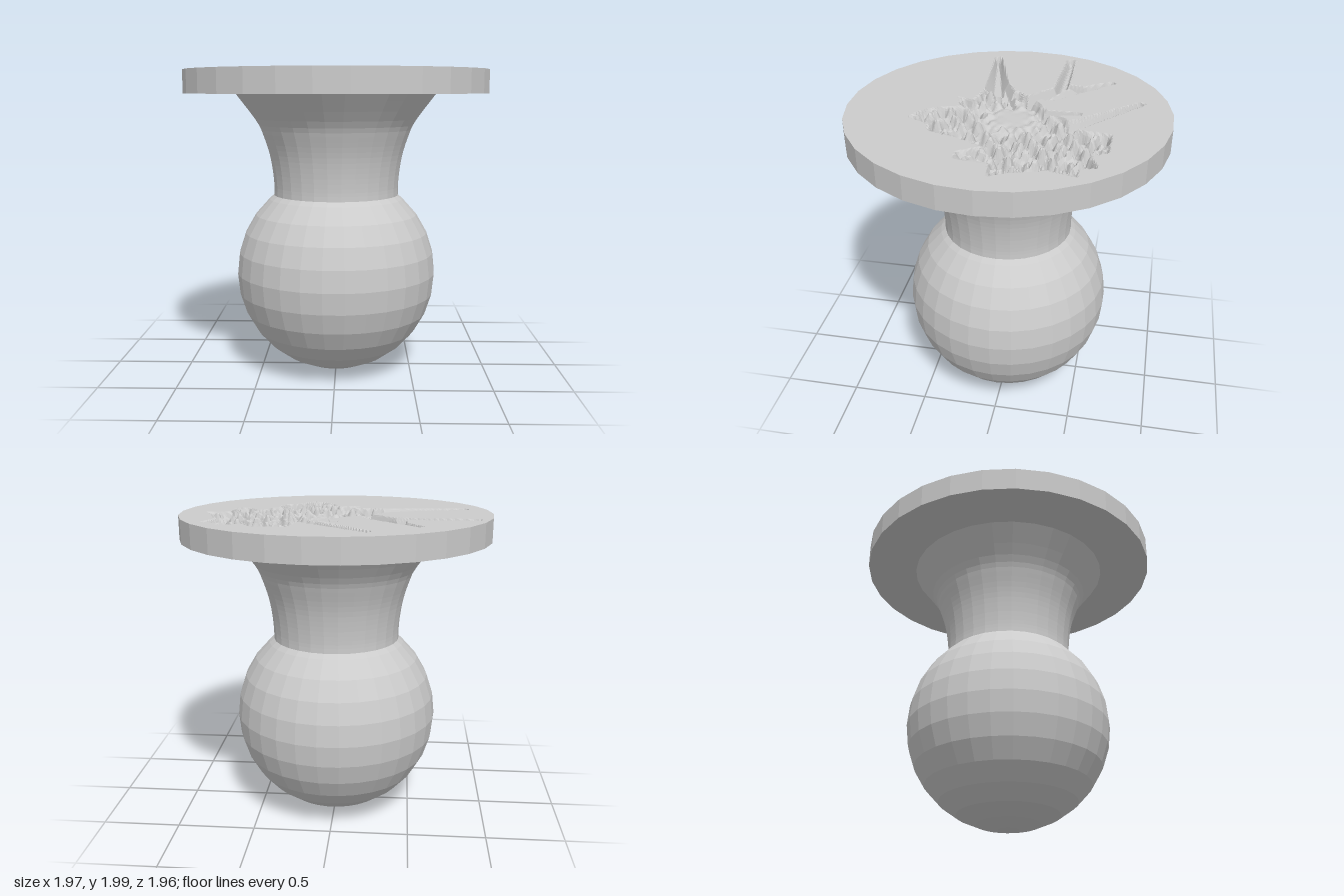
import * as THREE from 'three';

const SIDES = 30;
const DISC_R = 0.985;
const TOP = 1.99;
const material = new THREE.MeshStandardMaterial({ color: 0xcccccc, flatShading: true, side: THREE.DoubleSide });

// Outline of the engraved body, as x, z
const outline = [
  [-0.28, -0.02], [-0.2, -0.12], [-0.02, -0.24], [0.08, -0.38], [0.2, -0.42], [0.22, -0.64],
  [0.44, -0.64], [0.5, -0.55], [0.63, -0.6], [0.65, -0.5], [0.75, -0.5], [0.7, -0.35],
  [0.76, -0.15], [0.82, -0.04], [0.68, -0.02], [0.66, 0.18], [0.58, 0.18], [0.5, 0.05],
  [0.42, 0.2], [0.36, 0.4], [0.28, 0.42], [0.2, 0.57], [0.1, 0.5], [0.04, 0.42],
  [0, 0.3], [-0.14, 0.34], [-0.1, 0.24], [-0.3, 0.2],
];

// Engraved spikes: x, z, half width at the tip, then at the root
const spikes = [
  [-0.23, -0.78, 0.02, 0.2, -0.35, 0.06],
  [-0.52, -0.58, 0.02, -0.24, -0.22, 0.06],
  [-0.86, -0.28, 0.03, -0.4, -0.27, 0.045],
  [-0.4, -0.28, 0.03, -0.18, -0.1, 0.05],
  [-0.42, -0.44, 0.02, -0.41, -0.28, 0.035],
  [-0.02, -0.42, 0.02, 0, -0.22, 0.04],
  [-0.82, 0.22, 0.025, -0.33, 0.13, 0.08],
  [-0.38, 0.11, 0.05, -0.15, 0.02, 0.07],
];

// Position along a segment (0 to 1) and distance from it
function nearest(x, z, ax, az, bx, bz) {
  const dx = bx - ax, dz = bz - az;
  const t = THREE.MathUtils.clamp(((x - ax) * dx + (z - az) * dz) / (dx * dx + dz * dz), 0, 1);
  return [t, Math.hypot(x - ax - t * dx, z - az - t * dz)];
}

// Distance inside the outline, negative outside
function insideDistance(x, z) {
  let inside = false, distance = Infinity;
  outline.forEach(([ax, az], i) => {
    const [bx, bz] = outline[(i + 1) % outline.length];
    if ((az > z) !== (bz > z) && x < ax + ((bx - ax) * (z - az)) / (bz - az)) inside = !inside;
    distance = Math.min(distance, nearest(x, z, ax, az, bx, bz)[1]);
  });
  return inside ? distance : -distance;
}

// Height of the engraving relative to the flat face
function relief(x, z) {
  let depth = 0;
  const d = insideDistance(x, z);
  if (d > 0) {
    const rough = Math.sin(37 * x + 9 * z) * Math.sin(41 * z - 6 * x) + 0.6 * Math.sin(71 * x - 23 * z) * Math.cos(63 * z + 17 * x);
    const smooth = Math.exp(-(((x - 0.02) / 0.2) ** 4) - (((z + 0.03) / 0.18) ** 4));
    const floor = THREE.MathUtils.lerp(0.06 + 0.055 * rough, 0.045, smooth);
    depth = THREE.MathUtils.clamp(floor, -0.01, 0.12) * Math.min(1, d / 0.03);
  }
  for (const [ax, az, tip, bx, bz, root] of spikes) {
    const [t, distance] = nearest(x, z, ax, az, bx, bz);
    const width = tip + (root - tip) * t;
    const groove = (0.055 + 0.03 * t) * Math.min(1, 1.5 * Math.max(0, 1 - distance / width));
    depth = Math.max(depth, groove);
  }
  return -depth;
}

function lathe(name, profile) {
  const geometry = new THREE.LatheGeometry(profile.map(([r, y]) => new THREE.Vector2(r, y)), SIDES);
  geometry.rotateY(Math.PI / 2);
  const mesh = new THREE.Mesh(geometry, material);
  mesh.name = name;
  return mesh;
}

export function createModel() {
  const model = new THREE.Group();
  model.name = 'sealStamp';

  // Ball handle with rings every 12 degrees, cut off where the neck begins
  const ball = [[0, 0]];
  for (let a = -84; a <= 48; a += 12) {
    const angle = THREE.MathUtils.degToRad(a);
    ball.push([0.66 * Math.cos(angle), 0.66 + 0.66 * Math.sin(angle)]);
  }
  ball[1][1] = 0;
  ball.push([0.41, 1.178]);
  model.add(lathe('ballHandle', ball));

  // Flared neck
  const curve = new THREE.SplineCurve([
    [0.411, 1.178], [0.411, 1.24], [0.42, 1.34], [0.44, 1.45], [0.475, 1.56], [0.52, 1.66], [0.655, 1.84],
  ].map(([r, y]) => new THREE.Vector2(r, y)));
  model.add(lathe('neck', curve.getPoints(20).map((p) => [p.x, p.y])));

  // Underside and rim of the disc
  model.add(lathe('disc', [[0, 1.84], [DISC_R, 1.84], [DISC_R, TOP]]));

  // Engraved face, fitted to the many-sided rim
  const face = new THREE.RingGeometry(0.001, DISC_R, SIDES * 12, 64);
  face.rotateX(-Math.PI / 2);
  const p = face.attributes.position;
  const step = (2 * Math.PI) / SIDES;
  for (let i = 0; i < p.count; i++) {
    const angle = Math.atan2(p.getZ(i), p.getX(i)) + 2 * Math.PI;
    const fit = Math.cos(step / 2) / Math.cos((angle % step) - step / 2);
    const x = p.getX(i) * fit, z = p.getZ(i) * fit;
    p.setXYZ(i, x, TOP + relief(x, z), z);
  }
  face.computeVertexNormals();
  const engraving = new THREE.Mesh(face, material);
  engraving.name = 'engravedFace';
  model.add(engraving);

  return model;
}
